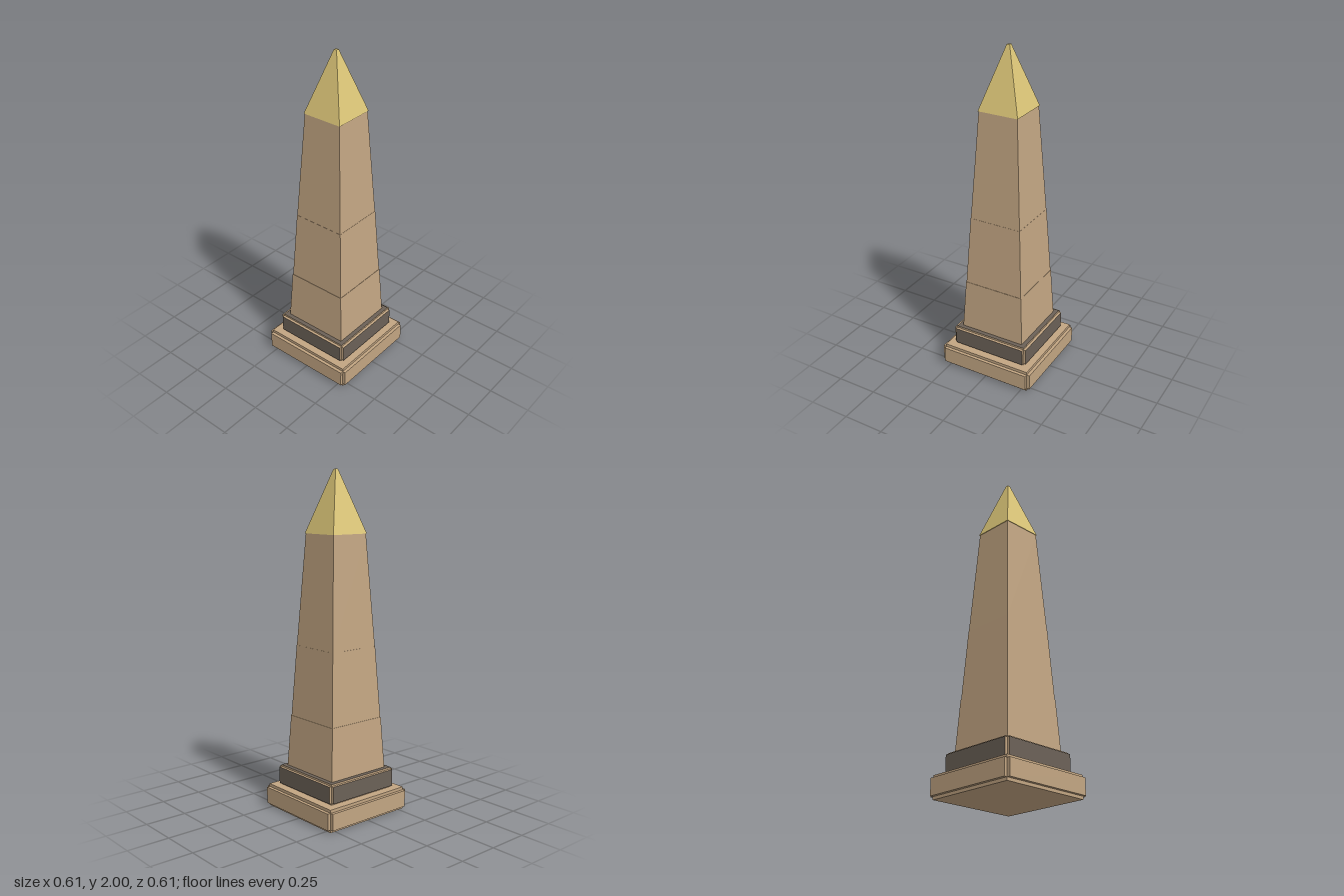
import * as THREE from 'three';

export function createModel() {
  const model = new THREE.Group();
  const material = (name, color) => {
    const m = new THREE.MeshStandardMaterial({ color });
    m.name = name;
    return m;
  };
  const sandstone = material('sandstone', 0xc2a582);
  const darkStone = material('darkStone', 0x6b6157);
  const gold = material('gold', 0xdbc577);

  // Block with square-notched edges: three crossing boxes, each giving one
  // pair of outer faces; the recessed faces take the notch material.
  function notchedBlock(name, half, y0, y1, insetXZ, insetY, face, notch) {
    const group = new THREE.Group();
    group.name = name;
    const full = [2 * half, y1 - y0, 2 * half];
    const small = [2 * (half - insetXZ), y1 - y0 - 2 * insetY, 2 * (half - insetXZ)];
    for (let axis = 0; axis < 3; axis++) {
      const size = small.map((s, i) => (i === axis ? full[i] : s));
      const mats = Array.from({ length: 6 }, (_, i) => (i >> 1 === axis ? face : notch));
      const mesh = new THREE.Mesh(new THREE.BoxGeometry(...size), mats);
      mesh.name = name + ['Sides', 'Core', 'FrontBack'][axis];
      mesh.position.y = (y0 + y1) / 2;
      group.add(mesh);
    }
    model.add(group);
  }

  // Square tapered section given by half widths
  function taper(name, bottom, top, y0, y1, mat) {
    const r = Math.SQRT2;
    const geo = new THREE.CylinderGeometry(top * r, bottom * r, y1 - y0, 4)
      .rotateY(Math.PI / 4).toNonIndexed();
    geo.computeVertexNormals();
    geo.clearGroups();
    const mesh = new THREE.Mesh(geo, mat);
    mesh.name = name;
    mesh.position.y = (y0 + y1) / 2;
    model.add(mesh);
  }

  // Stepped pedestal
  notchedBlock('base', 0.303, 0, 0.135, 0.019, 0.018, sandstone, sandstone);
  notchedBlock('plinth', 0.247, 0.135, 0.257, 0.016, 0.011, darkStone, sandstone);

  // Shaft in three courses with slight ledges
  taper('lowerShaft', 0.205, 0.188, 0.257, 0.565, sandstone);
  taper('middleShaft', 0.186, 0.162, 0.565, 0.99, sandstone);
  taper('upperShaft', 0.161, 0.121, 0.99, 1.64, sandstone);

  // Gilded cap with a tiny flat tip
  taper('cap', 0.125, 0.009, 1.64, 2, gold);

  return model;
}
